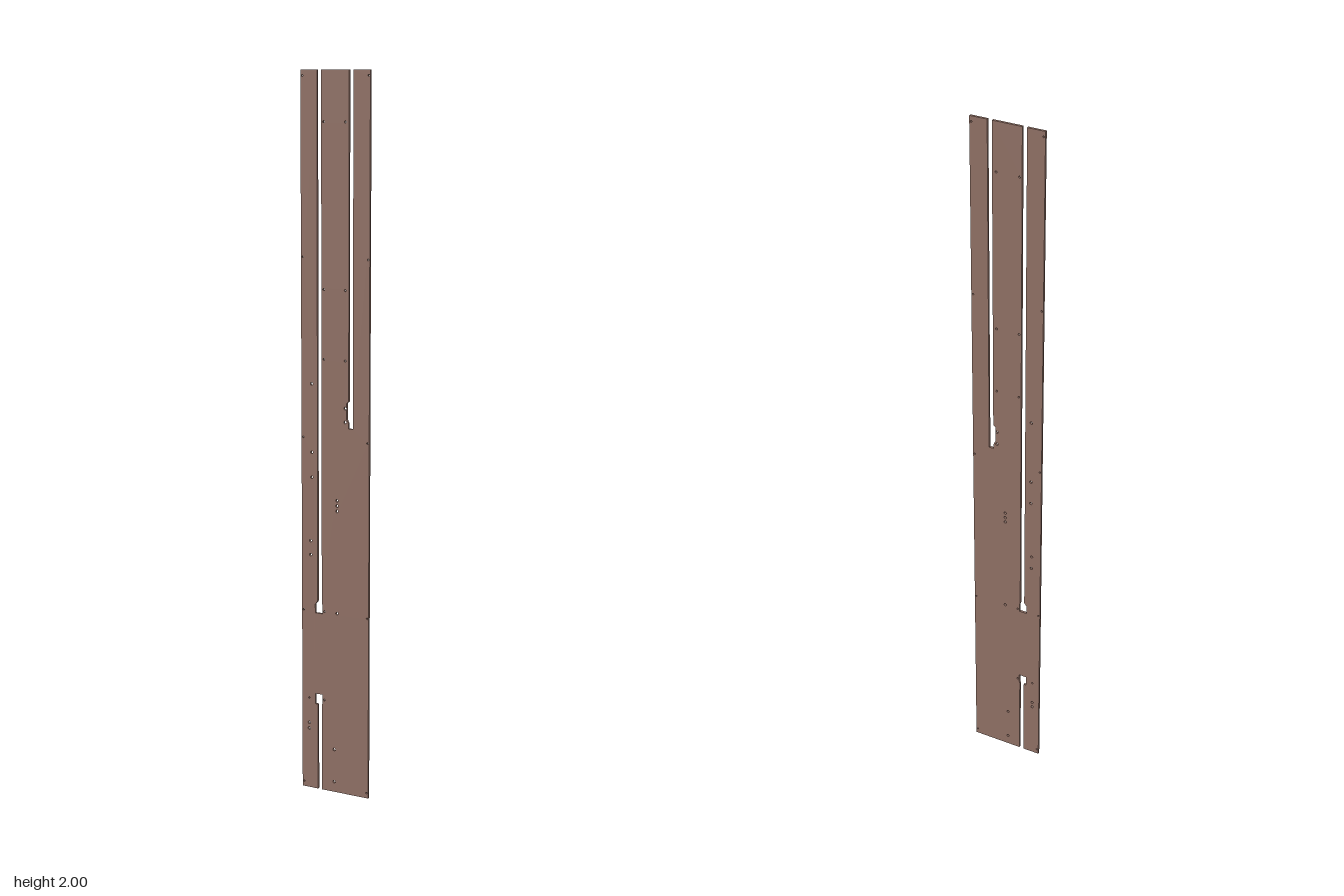
import * as THREE from 'three';

const HALF_WIDTH = 0.105, HEIGHT = 2, THICKNESS = 0.007;

export function createModel() {
  const group = new THREE.Group();
  group.name = 'slottedPanel';

  // Outline: one slot from the bottom, two from the top, each with a wider end pocket
  const outline = [
    [-HALF_WIDTH, 0],
    [-0.055, 0], [-0.055, 0.25], [-0.063, 0.25], [-0.063, 0.28],
    [-0.04, 0.28], [-0.04, 0.255], [-0.042, 0.25], [-0.042, 0],
    [HALF_WIDTH, 0], [HALF_WIDTH, HEIGHT],
    [0.055, HEIGHT], [0.055, 1.045], [0.041, 1.045], [0.041, 1.06],
    [0.036, 1.07], [0.036, 1.115], [0.042, 1.12], [0.042, HEIGHT],
    [-0.042, HEIGHT], [-0.042, 0.545], [-0.04, 0.54], [-0.04, 0.515],
    [-0.063, 0.515], [-0.063, 0.54], [-0.055, 0.55], [-0.055, HEIGHT],
    [-HALF_WIDTH, HEIGHT],
  ];
  const shape = new THREE.Shape(outline.map(([x, y]) => new THREE.Vector2(x, y)));

  const drill = (x, y, r = 0.004) => {
    const hole = new THREE.Path();
    hole.absarc(x, y, r, 0, Math.PI * 2, true);
    shape.holes.push(hole);
  };

  // Paired holes along the centre strip
  for (const y of [1.865, 1.42, 1.23]) {
    drill(-0.035, y, 0.003);
    drill(0.031, y, 0.003);
  }
  // Holes along the left strip
  for (const y of [1.16, 0.97, 0.9]) drill(-0.073, y);
  for (const y of [0.72, 0.68]) drill(-0.077, y);
  for (const y of [0.192, 0.175]) drill(-0.083, y);
  drill(-0.083, 0.265, 0.0025);
  // Holes in the body and beside the pockets
  for (const y of [0.842, 0.827, 0.812]) drill(0.006, y);
  for (const y of [1.1, 1.062]) drill(0.031, y);
  drill(0.006, 0.522);
  drill(-0.034, 0.522, 0.003);
  drill(-0.035, 0.265, 0.003);
  for (const y of [0.125, 0.03]) drill(-0.003, y);
  // Small fixing holes along both edges
  for (const y of [0.015, 0.52, 1.01, 1.505, 1.985])
    for (const side of [-1, 1]) drill(side * 0.1, y, 0.0025);

  const geometry = new THREE.ExtrudeGeometry(shape, {
    depth: THICKNESS, bevelEnabled: false, curveSegments: 8,
  });
  geometry.translate(0, 0, -THICKNESS / 2);

  const panel = new THREE.Mesh(geometry, new THREE.MeshStandardMaterial({ color: 0x8d6e63 }));
  panel.name = 'panel';
  group.add(panel);
  return group;
}
